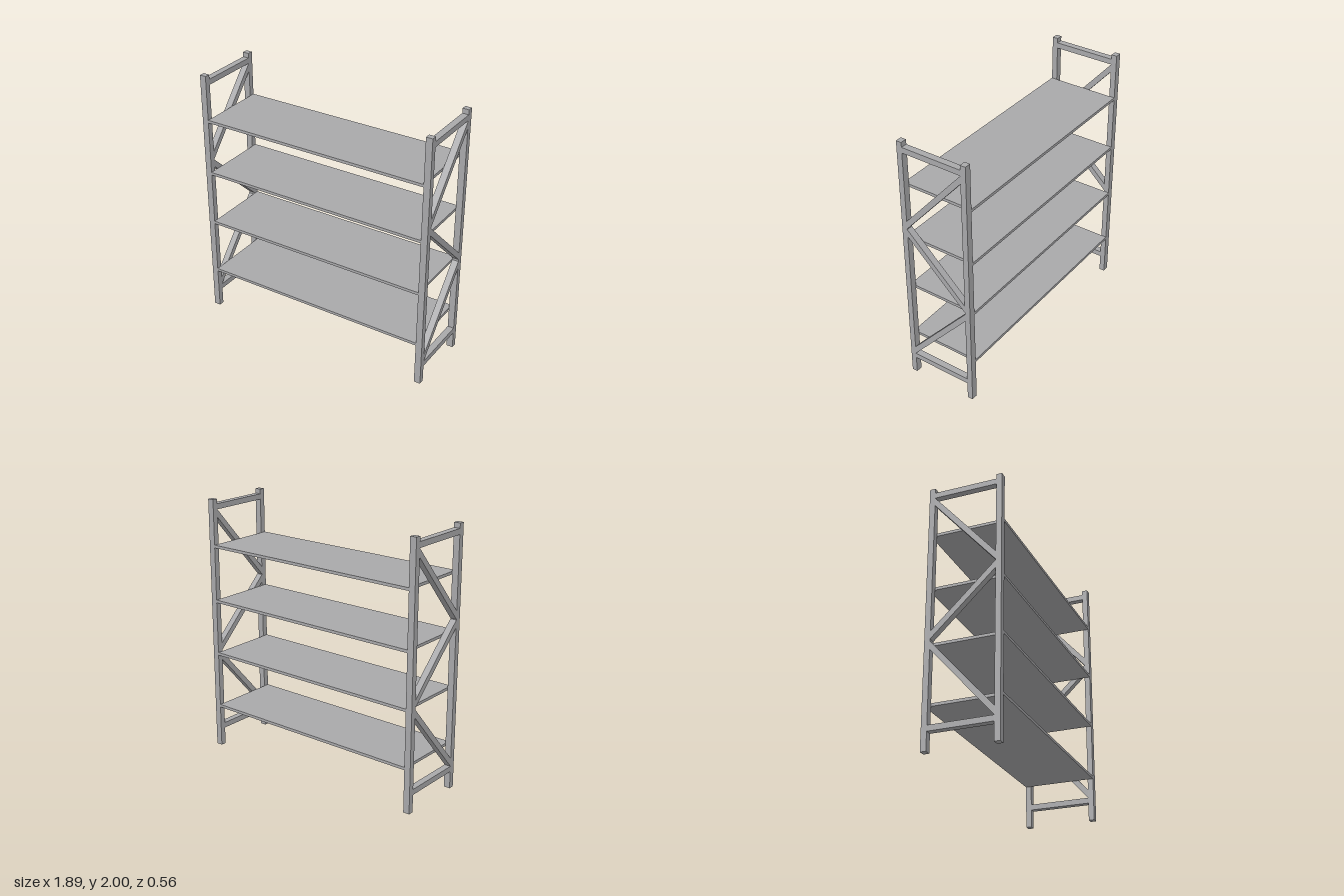
import * as THREE from 'three';

export function createModel() {
  const group = new THREE.Group();
  const steel = new THREE.MeshStandardMaterial({ color: 0xa8a8aa });
  steel.name = 'grey steel';

  const postW = 0.05, postD = 0.043, height = 2;
  const outerX = 0.947, outerZ = 0.28;
  const innerX = outerX - postW, innerZ = outerZ - postD;

  function add(parent, name, geometry, x, y, z) {
    const mesh = new THREE.Mesh(geometry, steel);
    mesh.name = name;
    mesh.position.set(x, y, z);
    parent.add(mesh);
  }

  // Diagonal brace with vertical end cuts: [bottom, top] at the front and back posts
  function braceGeometry(front, back) {
    const shape = new THREE.Shape([
      new THREE.Vector2(-innerZ, back[0]),
      new THREE.Vector2(innerZ, front[0]),
      new THREE.Vector2(innerZ, front[1]),
      new THREE.Vector2(-innerZ, back[1]),
    ]);
    const geometry = new THREE.ExtrudeGeometry(shape, { depth: postW, bevelEnabled: false });
    return geometry.translate(0, 0, -postW / 2).rotateY(-Math.PI / 2);
  }

  const postGeometry = new THREE.BoxGeometry(postW, height, postD);
  const railGeometry = new THREE.BoxGeometry(postW, 0.043, innerZ * 2);
  const braces = [
    braceGeometry([0.18, 0.243], [0.722, 0.784]),
    braceGeometry([1.25, 1.309], [0.8, 0.858]),
    braceGeometry([1.314, 1.377], [1.858, 1.92]),
  ];

  // End frames: two posts, two rails and the zigzag bracing
  for (const side of [-1, 1]) {
    const frame = new THREE.Group();
    frame.name = side > 0 ? 'leftFrame' : 'rightFrame';
    frame.position.x = side * (outerX - postW / 2);
    const postZ = outerZ - postD / 2;
    add(frame, 'frontPost', postGeometry, 0, height / 2, postZ);
    add(frame, 'backPost', postGeometry, 0, height / 2, -postZ);
    add(frame, 'lowerRail', railGeometry, 0, 0.158, 0);
    add(frame, 'upperRail', railGeometry, 0, 1.942, 0);
    braces.forEach((geometry, i) => add(frame, `brace${i + 1}`, geometry, 0, 0, 0));
    group.add(frame);
  }

  // Shelves spanning between the frames
  const shelfGeometry = new THREE.BoxGeometry(innerX * 2, 0.022, outerZ * 2);
  [0.34, 0.779, 1.208, 1.642].forEach((y, i) => add(group, `shelf${i + 1}`, shelfGeometry, 0, y, 0));

  return group;
}
